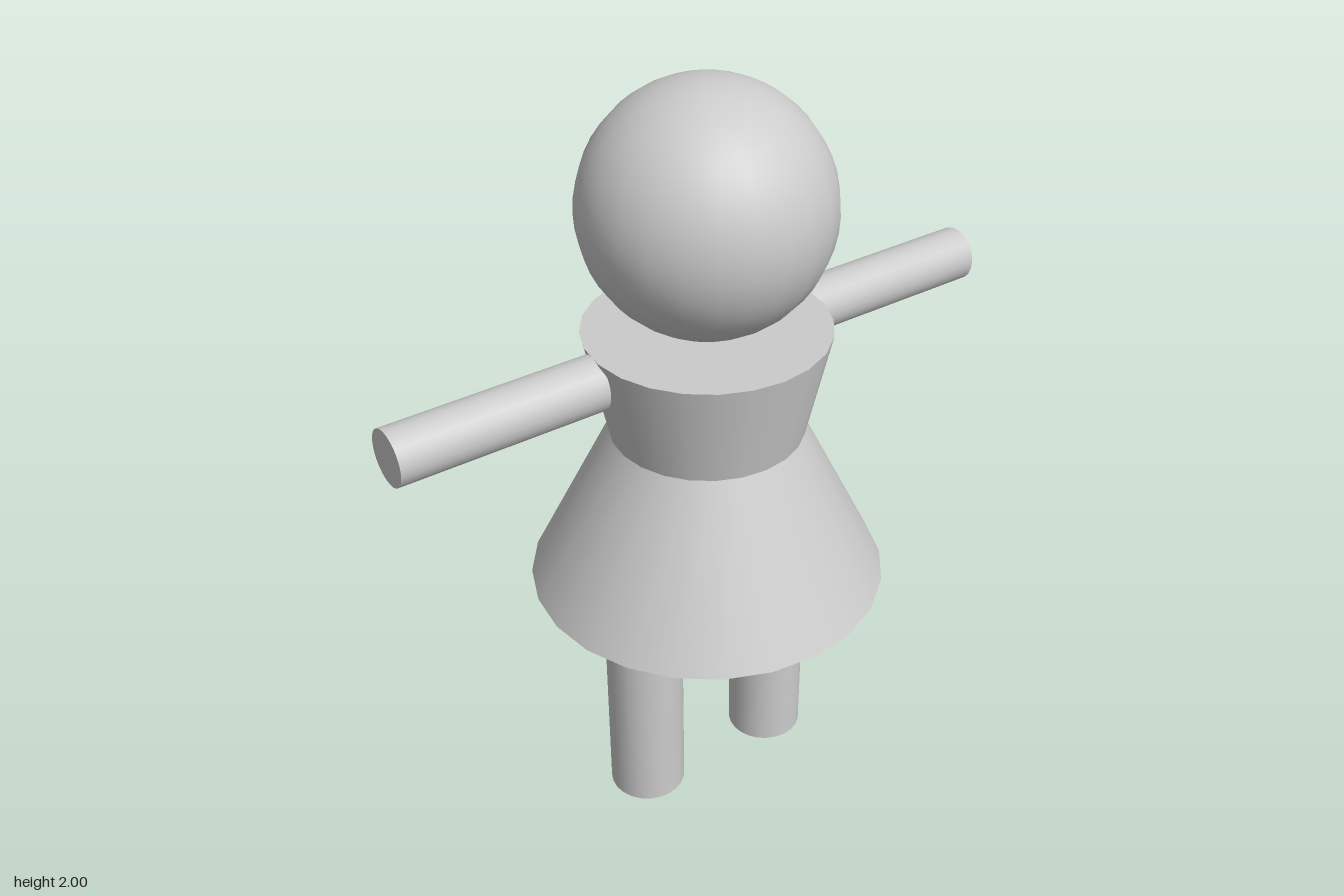
import * as THREE from 'three';

const SIDES = 24;

export function createModel() {
  const model = new THREE.Group();
  model.name = 'doll';
  const material = new THREE.MeshStandardMaterial({ color: 0xcccccc });

  function add(name, geometry, x, y, z) {
    const mesh = new THREE.Mesh(geometry, material);
    mesh.name = name;
    mesh.position.set(x, y, z);
    model.add(mesh);
    return mesh;
  }

  // Upright cone or cylinder between two heights
  function column(name, topRadius, bottomRadius, bottom, top, x = 0) {
    const geometry = new THREE.CylinderGeometry(topRadius, bottomRadius, top - bottom, SIDES);
    return add(name, geometry, x, (top + bottom) / 2, 0);
  }

  // Head resting on the flat top of the torso
  add('head', new THREE.SphereGeometry(0.305, SIDES, SIDES), 0, 1.695, 0);

  // Dress
  column('torso', 0.305, 0.245, 1.105, 1.385);
  column('skirt', 0.245, 0.46, 0.67, 1.105);

  // Mirrored limbs
  for (const [side, s] of [['left', 1], ['right', -1]]) {
    column(side + 'Leg', 0.102, 0.102, 0, 0.67, s * 0.203);

    // Arms point straight out, set slightly behind the centre
    const inner = 0.296, outer = 0.83;
    const arm = add(side + 'Arm', new THREE.CylinderGeometry(0.07, 0.07, outer - inner, SIDES),
      s * (inner + outer) / 2, 1.315, -0.033);
    arm.rotation.z = -s * Math.PI / 2;
  }

  return model;
}
